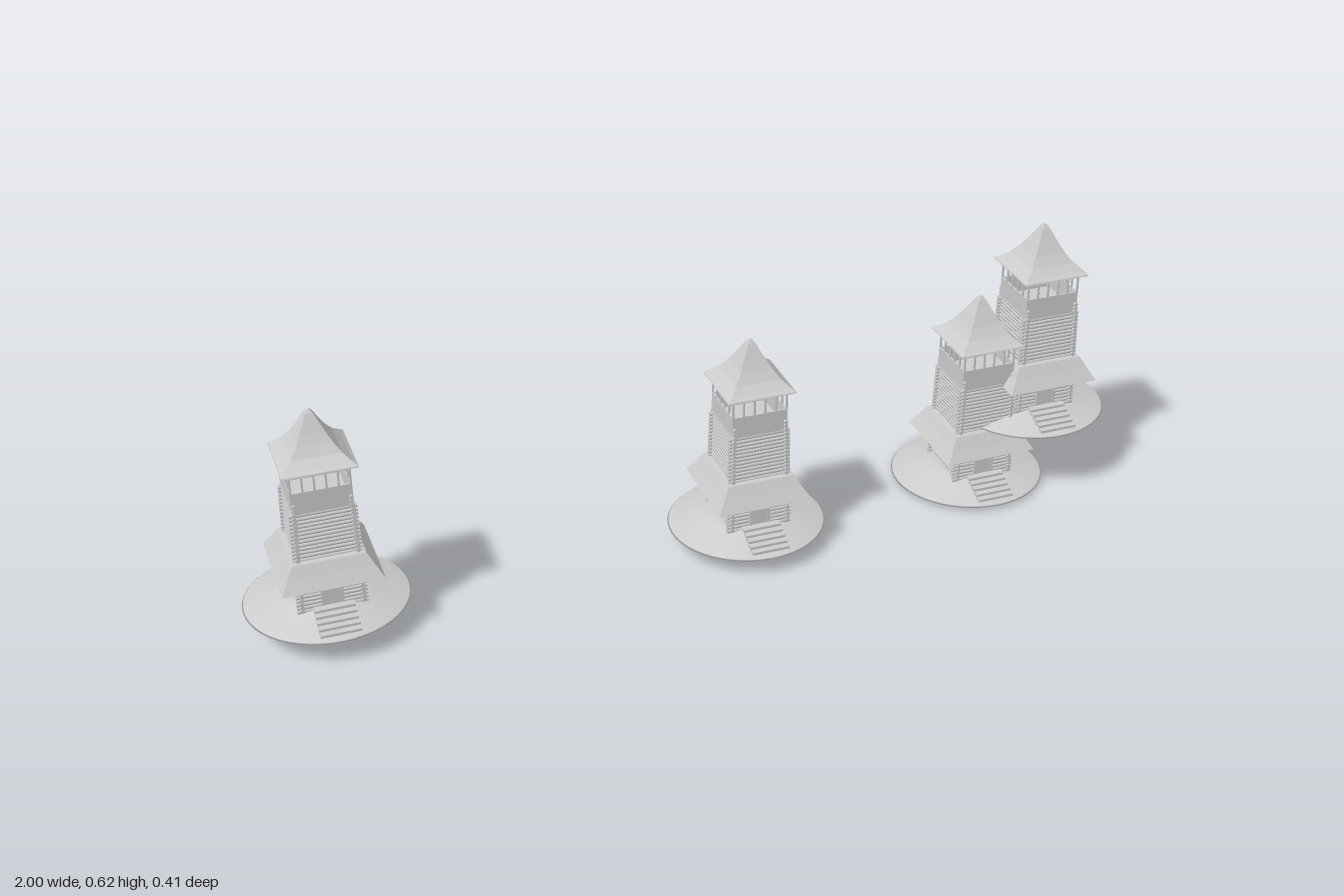
import * as THREE from 'three';

const GREY = new THREE.MeshStandardMaterial({ color: 0xcccccc, side: THREE.DoubleSide });
const FLAT = new THREE.MeshStandardMaterial({ color: 0xcccccc, side: THREE.DoubleSide, flatShading: true });

function add(parent, name, geometry, x = 0, y = 0, z = 0, material = GREY) {
  const mesh = new THREE.Mesh(geometry, material);
  mesh.name = name;
  mesh.position.set(x, y, z);
  parent.add(mesh);
  return mesh;
}

const box = (w, h, d) => new THREE.BoxGeometry(w, h, d);

// Four-sided shell swept from [half width, height] pairs, listed from bottom to top
function squareShell(profile) {
  const pts = profile.map(([h, y]) => new THREE.Vector2(h * Math.SQRT2, y));
  const g = new THREE.LatheGeometry(pts, 4, Math.PI / 4).toNonIndexed();
  g.computeVertexNormals();
  return g;
}

// Low round hill under the tower
function addMound(tower) {
  const profile = [[0, 0], [0.1, 0], [0.155, 0.004], [0.174, 0.008], [0.171, 0.011], [0.15, 0.017],
    [0.125, 0.025], [0.1, 0.034], [0.085, 0.039], [0.07, 0.041], [0, 0.041]];
  const pts = profile.map(([r, y]) => new THREE.Vector2(r, y));
  add(tower, 'mound', new THREE.LatheGeometry(pts, 48), 0, 0, -0.011).scale.z = 0.97;
}

// Stacked logs crossing at the corners, narrowing slightly upward
function addLogWalls(tower) {
  const walls = new THREE.Group();
  walls.name = 'logWalls';
  tower.add(walls);
  const bottom = 0.036, top = 0.263, step = 0.0087;
  const count = Math.floor((top - bottom) / step);
  const log = new THREE.CylinderGeometry(0.0047, 0.0047, 1, 8);
  for (let i = 0; i <= count; i++) {
    const t = i / count;
    const plane = 0.064 - 0.005 * t;
    const length = 2 * (0.0735 - 0.005 * t);
    for (const side of [-1, 1]) {
      const y = bottom + i * step;
      const across = add(walls, 'wallLog', log, 0, y, side * plane);
      across.rotation.z = Math.PI / 2;
      across.scale.y = length;
      const along = add(walls, 'wallLog', log, side * plane, y + step / 2, 0);
      along.rotation.x = Math.PI / 2;
      along.scale.y = length;
    }
  }
  // Corner log ends carrying the gallery
  for (const sx of [-1, 1]) for (const sz of [-1, 1]) for (let i = 0; i < 3; i++) {
    const end = add(walls, 'cornerBracket', log, sx * 0.058, 0.268 + i * step, sz * 0.062);
    end.rotation.x = Math.PI / 2;
    end.scale.y = 0.012;
  }
}

// Door with frame and the plank steps leading up to it
function addEntrance(tower) {
  add(tower, 'door', box(0.034, 0.056, 0.006), 0, 0.068, 0.068);
  for (const side of [-1, 1]) add(tower, 'doorPost', box(0.006, 0.06, 0.01), side * 0.02, 0.07, 0.068);
  add(tower, 'doorLintel', box(0.05, 0.006, 0.01), 0, 0.1, 0.068);
  for (let i = 0; i < 5; i++) {
    add(tower, 'stepPlank', box(0.085, 0.006, 0.016), 0, 0.043 - i * 0.0062, 0.08 + i * 0.0135);
  }
}

// Parapet, posts and floor of the open lookout
function addGallery(tower) {
  const h = 0.0625, low = 0.263, rail = 0.315, eave = 0.36;
  add(tower, 'parapet', squareShell([[h, low], [h, rail], [h - 0.004, rail], [h - 0.004, low + 0.01]]), 0, 0, 0, FLAT);
  add(tower, 'galleryFloor', box(2 * h - 0.002, 0.008, 2 * h - 0.002), 0, low + 0.006, 0);
  const post = box(0.004, eave - rail + 0.004, 0.004);
  const n = 5, edge = h - 0.002;
  for (let i = 0; i < n; i++) {
    const p = -edge + (2 * edge * i) / n;
    const y = (rail + eave) / 2;
    add(tower, 'galleryPost', post, p, y, edge);
    add(tower, 'galleryPost', post, -p, y, -edge);
    add(tower, 'galleryPost', post, edge, y, -p);
    add(tower, 'galleryPost', post, -edge, y, p);
  }
}

function makeTower() {
  const tower = new THREE.Group();
  tower.name = 'watchtower';
  addMound(tower);
  addLogWalls(tower);
  addEntrance(tower);
  addGallery(tower);
  // Flared skirt roof around the lower storey
  add(tower, 'skirtRoof', squareShell([[0.062, 0.145], [0.1, 0.105], [0.106, 0.105], [0.09, 0.131],
    [0.076, 0.156], [0.06, 0.158]]), 0, 0, 0, FLAT);
  // Spire with a concave sweep, open underneath
  add(tower, 'spireRoof', squareShell([[0.072, 0.36], [0.077, 0.358], [0.076, 0.361], [0.068, 0.367],
    [0.051, 0.383], [0.036, 0.404], [0.026, 0.422], [0.016, 0.441], [0.008, 0.457], [0.003, 0.464], [0, 0.465]]), 0, 0, 0, FLAT);
  add(tower, 'ceiling', box(0.146, 0.003, 0.146), 0, 0.361, 0);
  return tower;
}

export function createModel() {
  const model = new THREE.Group();
  model.name = 'watchtowers';
  const sites = [[-0.826, 0.046, 0.045], [0.107, 0.032, 0.045], [0.682, 0, -0.024], [0.826, 0.152, -0.024]];
  for (const site of sites) {
    const tower = makeTower();
    tower.position.set(...site);
    model.add(tower);
  }
  return model;
}
